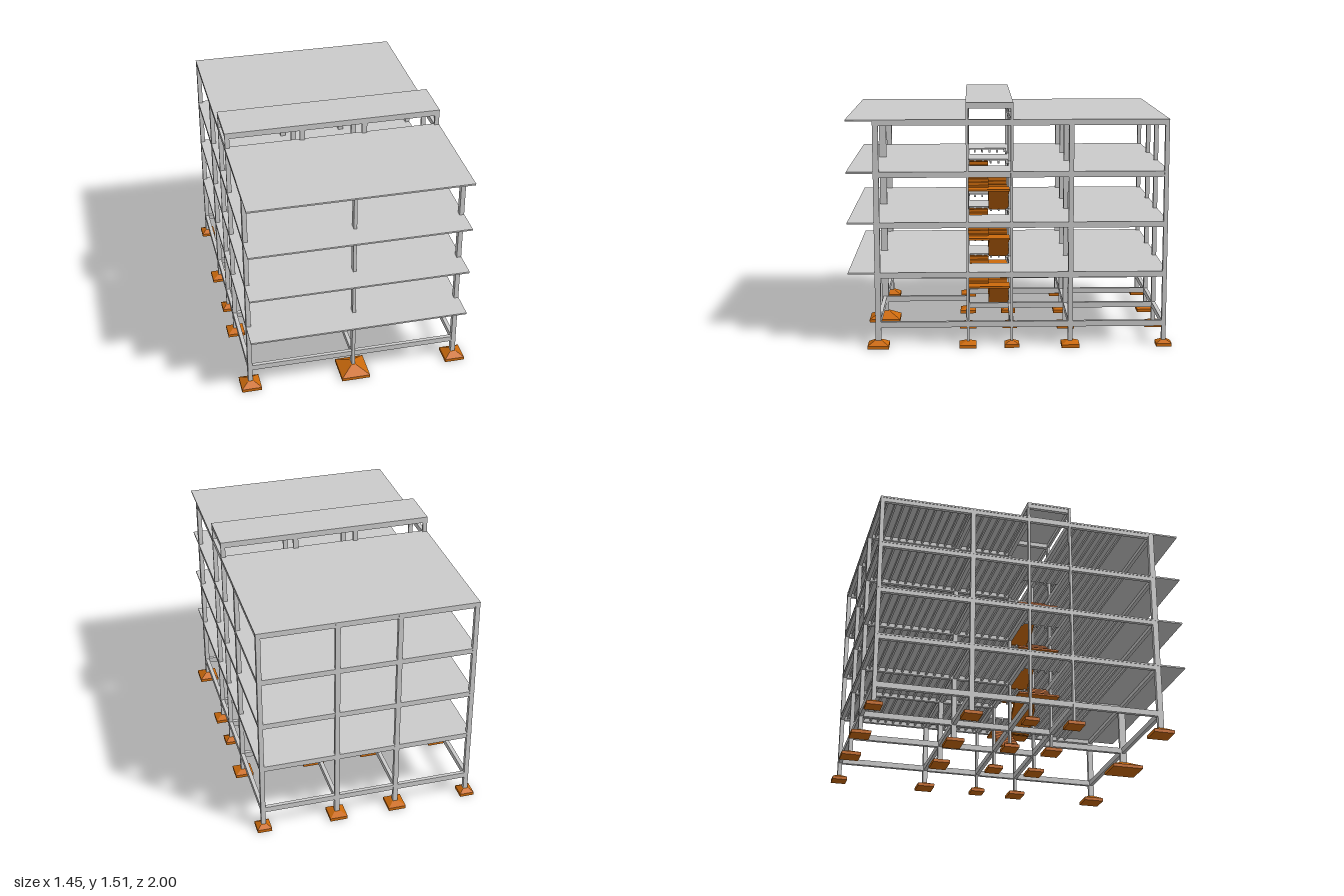
import * as THREE from 'three';

const grey = new THREE.MeshStandardMaterial({ color: 0xcccccc });
const orange = new THREE.MeshStandardMaterial({ color: 0xcc6a0c });

const LEVELS = [0.47, 0.78, 1.09, 1.405]; // tops of the floors and the roof
const GROUND = 0.16;
const HOLE = { x0: 0.125, x1: 0.42, z0: 0.01, z1: 0.262 };

function add(parent, name, geometry, material = grey) {
  const mesh = new THREE.Mesh(geometry, material);
  mesh.name = name;
  parent.add(mesh);
  return mesh;
}

// Box given by its limits on each axis
function block(parent, name, x0, x1, y0, y1, z0, z1, material) {
  const g = new THREE.BoxGeometry(x1 - x0, y1 - y0, z1 - z0);
  g.translate((x0 + x1) / 2, (y0 + y1) / 2, (z0 + z1) / 2);
  return add(parent, name, g, material);
}

function group(parent, name) {
  const g = new THREE.Group();
  g.name = name;
  parent.add(g);
  return g;
}

// Square pad with a sloping top that meets the column
function footing(parent, x, z, w, d, pad, h, cw, cd) {
  block(parent, 'footingPad', x - w / 2, x + w / 2, 0, pad, z - d / 2, z + d / 2, orange);
  const g = new THREE.BoxGeometry(w, h - pad, d).toNonIndexed();
  const p = g.attributes.position;
  for (let i = 0; i < p.count; i++) {
    if (p.getY(i) > 0) {
      p.setX(i, Math.sign(p.getX(i)) * (cw / 2 + 0.006));
      p.setZ(i, Math.sign(p.getZ(i)) * (cd / 2 + 0.006));
    }
  }
  g.computeVertexNormals();
  g.translate(x, (h + pad) / 2, z);
  add(parent, 'footingSlope', g, orange);
}

// Stepped flight in the x-y plane; dir is +1 when it climbs towards +x
function flight(parent, xStart, yStart, dir, run, rise, steps, z0, z1) {
  const s = new THREE.Shape();
  const r = run / steps, h = rise / steps, t = 0.018;
  s.moveTo(0, 0);
  for (let i = 0; i < steps; i++) {
    s.lineTo(i * r, (i + 1) * h);
    s.lineTo((i + 1) * r, (i + 1) * h);
  }
  s.lineTo(run, rise - t);
  s.lineTo(r * 0.8, -h * 0.3);
  s.closePath();
  const g = new THREE.ExtrudeGeometry(s, { depth: z1 - z0, bevelEnabled: false });
  if (dir < 0) {
    g.rotateY(Math.PI);
    g.translate(0, 0, z1 - z0);
  }
  g.translate(xStart, yStart, z0);
  add(parent, 'stairFlight', g, orange);
}

export function createModel() {
  const model = new THREE.Group();
  model.name = 'buildingFrame';
  const columns = group(model, 'columns');
  const footings = group(model, 'footings');
  const beams = group(model, 'beams');
  const slabs = group(model, 'slabs');
  const stairs = group(model, 'stairs');

  // Columns: [x, z, width, depth, top, footing width, footing depth]
  const list = [[0, 0.82, 0.02, 0.045, 1.4, 0.18, 0.2]];
  for (const s of [-1, 1]) {
    list.push(
      [s * 0.66, 0.82, 0.028, 0.035, 1.4, 0.125, 0.13],
      [s * 0.66, 0.27, 0.028, 0.015, 1.5, 0.11, 0.105],
      [s * 0.66, 0, 0.028, 0.015, 1.5, 0.09, 0.09],
      [s * 0.66, -0.36, 0.028, 0.03, 1.4, 0.115, 0.11],
      [s * 0.66, -0.937, 0.028, 0.026, 1.4, 0.09, 0.095],
      [s * 0.196, 0.27, 0.032, 0.015, 1.5, 0.12, 0.105],
      [s * 0.196, 0, 0.032, 0.015, 1.5, 0.11, 0.095],
      [s * 0.196, -0.36, 0.032, 0.03, 1.4, 0.14, 0.11],
      [s * 0.19, -0.937, 0.03, 0.026, 1.4, 0.11, 0.12]
    );
  }
  for (const [x, z, w, d, top, fw, fd] of list) {
    block(columns, 'column', x - w / 2, x + w / 2, 0.01, top, z - d / 2, z + d / 2);
    const big = x === 0;
    footing(footings, x, z, fw, fd, 0.02, big ? 0.06 : fd > 0.125 ? 0.045 : 0.036, w, d);
  }

  // Beam grid on every level
  const b = 0.012;
  for (const top of [GROUND, ...LEVELS]) {
    const y0 = top - 0.036, y1 = top - 0.001;
    const roof = top > 1.2, ground = top === GROUND;
    for (const z of [-0.936, -0.36, 0, 0.27, 0.82]) {
      block(beams, 'crossBeam', -0.67, 0.67, y0, y1, z - b, z + b);
    }
    for (const s of [-1, 1]) {
      block(beams, 'sideBeam', s * 0.66 - b, s * 0.66 + b, y0, y1, -0.948, 0.832);
      block(beams, 'innerBeam', s * 0.195 - b, s * 0.195 + b, y0, y1, -0.936, ground ? 0.27 : 0);
    }
    block(beams, 'frontBeam', -b, b, y0, y1, 0.27, 0.82);

    // Narrow joists across the width, left out at the openings
    if (ground) continue;
    for (let z = -0.9; z < 0.64; z += 0.051) {
      const inStrip = z > -0.01 && z < 0.28;
      if (inStrip && roof) continue;
      const spans = inStrip
        ? [[-0.655, -HOLE.x1], [-HOLE.x0, HOLE.x0], [HOLE.x1, 0.655]]
        : [[-0.655, 0.655]];
      for (const [x0, x1] of spans) {
        block(beams, 'joist', x0, x1, top - 0.028, top - 0.008, z - 0.006, z + 0.006);
      }
    }
  }

  // Floors with two stair openings; the roof is open under the raised canopy
  for (const top of LEVELS) {
    if (top > 1.2) {
      block(slabs, 'rearRoof', -0.675, 0.675, top - 0.01, top, -0.95, 0.008);
      block(slabs, 'frontRoof', -0.675, 0.675, top - 0.01, top, 0.262, 1);
      continue;
    }
    const shape = new THREE.Shape();
    shape.moveTo(-0.675, -0.95).lineTo(0.675, -0.95).lineTo(0.675, 1).lineTo(-0.675, 1);
    for (const s of [-1, 1]) {
      const hole = new THREE.Path();
      hole.moveTo(s * HOLE.x0, HOLE.z0).lineTo(s * HOLE.x0, HOLE.z1);
      hole.lineTo(s * HOLE.x1, HOLE.z1).lineTo(s * HOLE.x1, HOLE.z0);
      shape.holes.push(hole);
    }
    const g = new THREE.ExtrudeGeometry(shape, { depth: 0.01, bevelEnabled: false });
    g.rotateX(Math.PI / 2);
    g.translate(0, top, 0);
    add(slabs, 'floorSlab', g);
  }

  // Raised canopy over the stair bay
  const canopy = group(model, 'canopy');
  block(canopy, 'canopySlab', -0.675, 0.675, 1.497, 1.507, -0.008, 0.278);
  for (const z of [0, 0.27]) block(canopy, 'canopyBeam', -0.675, 0.675, 1.47, 1.5, z - 0.008, z + 0.008);
  for (const x of [-0.66, -0.195, 0.195, 0.66]) {
    block(canopy, 'canopyCrossBeam', x - b, x + b, 1.47, 1.5, 0, 0.27);
  }

  // Two mirrored stairs, each with two flights and a landing per storey
  for (const s of [-1, 1]) {
    for (let i = 0; i < 3; i++) {
      const y = GROUND - 0.015 + i * 0.311;
      const mid = y + 0.168;
      flight(stairs, s * 0.1, y, s, 0.2, 0.168, 8, 0.008, 0.136);
      block(stairs, 'landing', Math.min(s * 0.29, s * 0.4), Math.max(s * 0.29, s * 0.4),
        mid - 0.011, mid, 0.005, 0.265, orange);
      flight(stairs, s * 0.31, mid - 0.008, -s, 0.185, 0.15, 8, 0.138, 0.264);
    }
  }
  return model;
}
